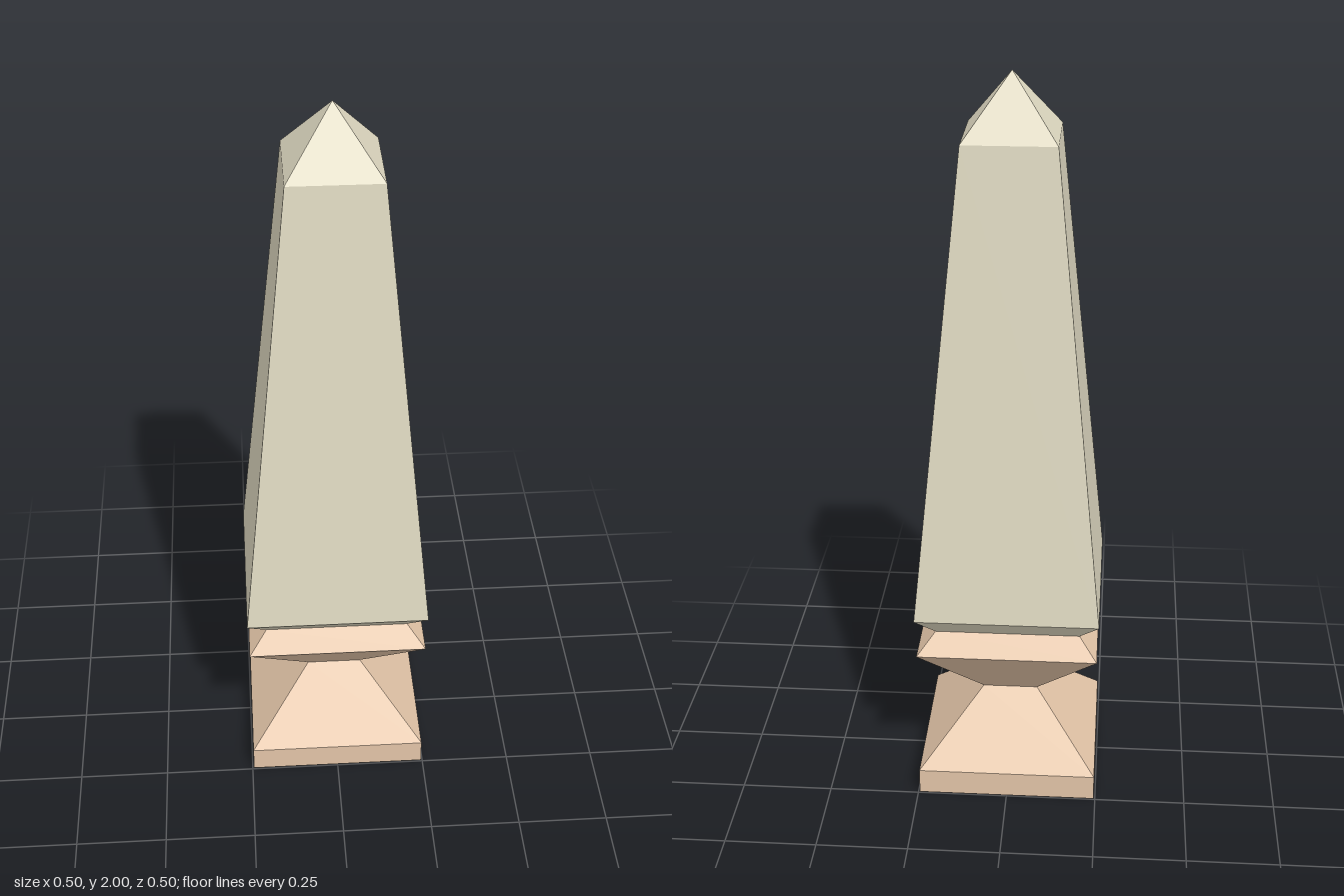
import * as THREE from 'three';

// Square-section solid: a four-sided lathe of [half width, height] points
function squareTurned(name, color, profile) {
  const points = profile.map(([half, y]) => new THREE.Vector2(half * Math.SQRT2, y));
  const geometry = new THREE.LatheGeometry(points, 4, Math.PI / 4).toNonIndexed();
  geometry.computeVertexNormals();
  const material = new THREE.MeshStandardMaterial({ color, flatShading: true, side: THREE.DoubleSide });
  const mesh = new THREE.Mesh(geometry, material);
  mesh.name = name;
  return mesh;
}

export function createModel() {
  const group = new THREE.Group();
  group.name = 'obelisk';

  // Waisted pedestal, hollow and open underneath
  group.add(squareTurned('pedestal', 0xe3c5a8, [
    [0.246, 0], [0.246, 0.072], [0.076, 0.254], [0.246, 0.448], [0.197, 0.502],
  ]));

  // Tapered shaft with a bevelled foot
  group.add(squareTurned('shaft', 0xe0dac2, [
    [0.197, 0.502], [0.25, 0.56], [0.122, 1.84],
  ]));

  // Pointed cap
  group.add(squareTurned('cap', 0xe0dac2, [[0.122, 1.84], [0, 2]]));

  return group;
}
